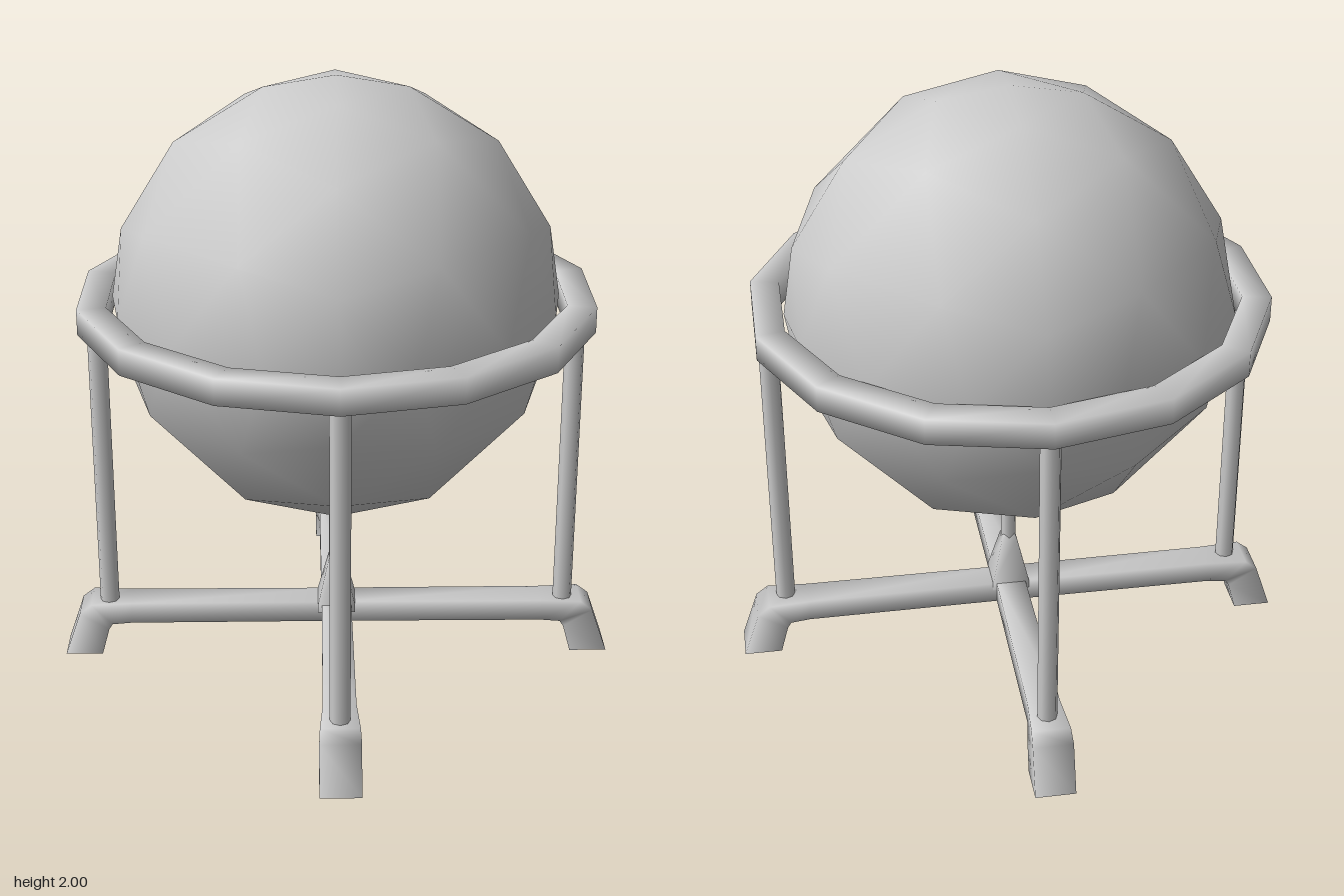
import * as THREE from 'three';

const material = new THREE.MeshStandardMaterial({ color: 0xcccccc });

function add(parent, name, geometry, x = 0, y = 0, z = 0) {
  const mesh = new THREE.Mesh(geometry, material);
  mesh.name = name;
  mesh.position.set(x, y, z);
  parent.add(mesh);
  return mesh;
}

// Joins equal-sized cross-sections (lists of [x, y, z]) into a smooth skin
function loft(sections, closed = false) {
  const n = sections[0].length;
  const rows = sections.length;
  const index = [];
  for (let i = 0; i < (closed ? rows : rows - 1); i++) {
    const next = (i + 1) % rows;
    for (let j = 0; j < n; j++) {
      const k = (j + 1) % n;
      const a = i * n + j, b = i * n + k, c = next * n + j, d = next * n + k;
      index.push(a, b, c, b, d, c);
    }
  }
  const points = sections.flat();
  if (!closed) {
    // flat cap on the last section, with its own corners
    const start = points.length;
    points.push(...sections[rows - 1]);
    for (let j = 1; j < n - 1; j++) index.push(start, start + j, start + j + 1);
  }
  const geometry = new THREE.BufferGeometry();
  geometry.setAttribute('position', new THREE.Float32BufferAttribute(points.flat(), 3));
  geometry.setIndex(index);
  geometry.computeVertexNormals();
  return geometry;
}

// Horizontal ring: 14 sides with a square section
function ringGeometry() {
  const sides = 14;
  const section = [[0.836, 1.22], [0.836, 1.304], [0.742, 1.304], [0.742, 1.22]];
  const sections = [];
  for (let i = 0; i < sides; i++) {
    const t = ((i + 0.25) / sides) * Math.PI * 2;
    sections.push(section.map(([r, y]) => [r * Math.cos(t), y, r * Math.sin(t)]));
  }
  return loft(sections, true);
}

// One arm of the cross base, bending down into a splayed foot
function armGeometry() {
  // [top radius, top y, bottom radius, bottom y, width]
  const stations = [
    [0, 0.187, 0, 0.113, 0.1],
    [0.7, 0.187, 0.7, 0.113, 0.105],
    [0.835, 0.187, 0.765, 0.113, 0.125],
    [0.875, 0.155, 0.777, 0.095, 0.13],
    [0.928, 0, 0.803, 0, 0.13],
  ];
  return loft(stations.map(([rt, yt, rb, yb, w]) => [
    [rt, yt, w / 2], [rb, yb, w / 2], [rb, yb, -w / 2], [rt, yt, -w / 2],
  ]));
}

export function createModel() {
  const model = new THREE.Group();
  model.name = 'globeOnStand';

  // Faceted ball with smooth shading
  const globe = new THREE.OctahedronGeometry(0.72, 3).rotateY(Math.PI / 4);
  add(model, 'globe', globe, 0.006, 1.28, -0.007);

  add(model, 'ring', ringGeometry());

  // Four arms on the diagonals, each carrying a post up to the ring
  const arm = armGeometry();
  const post = new THREE.CylinderGeometry(0.032, 0.032, 1.1, 8);
  for (let i = 0; i < 4; i++) {
    const angle = Math.PI / 4 + (i * Math.PI) / 2;
    add(model, 'baseArm', arm).rotation.y = angle;
    add(model, 'post', post, 0.775 * Math.cos(angle) - 0.008, 0.7, 0.775 * Math.sin(angle) + 0.008);
  }

  // Square tapered socket and the rod holding the ball
  const socket = loft([[0.089, 0.16], [0.089, 0.187], [0.036, 0.345], [0.022, 0.365]].map(([r, y]) =>
    [[r, y, 0], [0, y, -r], [-r, y, 0], [0, y, r]].reverse().map((p) => p)));
  add(model, 'socket', socket, -0.008, 0, 0.008).geometry = flip(socket);
  add(model, 'rod', new THREE.CylinderGeometry(0.025, 0.025, 0.28, 8), -0.008, 0.47, 0.008);

  return model;
}

// Turns a skin's faces outward when its sections run the other way round
function flip(geometry) {
  const p = geometry.attributes.position;
  const index = geometry.index.array;
  const [a, b, c] = [0, 1, 2].map((i) => new THREE.Vector3().fromBufferAttribute(p, index[i]));
  const normal = b.clone().sub(a).cross(c.clone().sub(a));
  if (normal.x * (a.x + b.x) + normal.z * (a.z + b.z) < 0) {
    for (let i = 0; i < index.length; i += 3) [index[i], index[i + 1]] = [index[i + 1], index[i]];
    geometry.computeVertexNormals();
  }
  return geometry;
}
